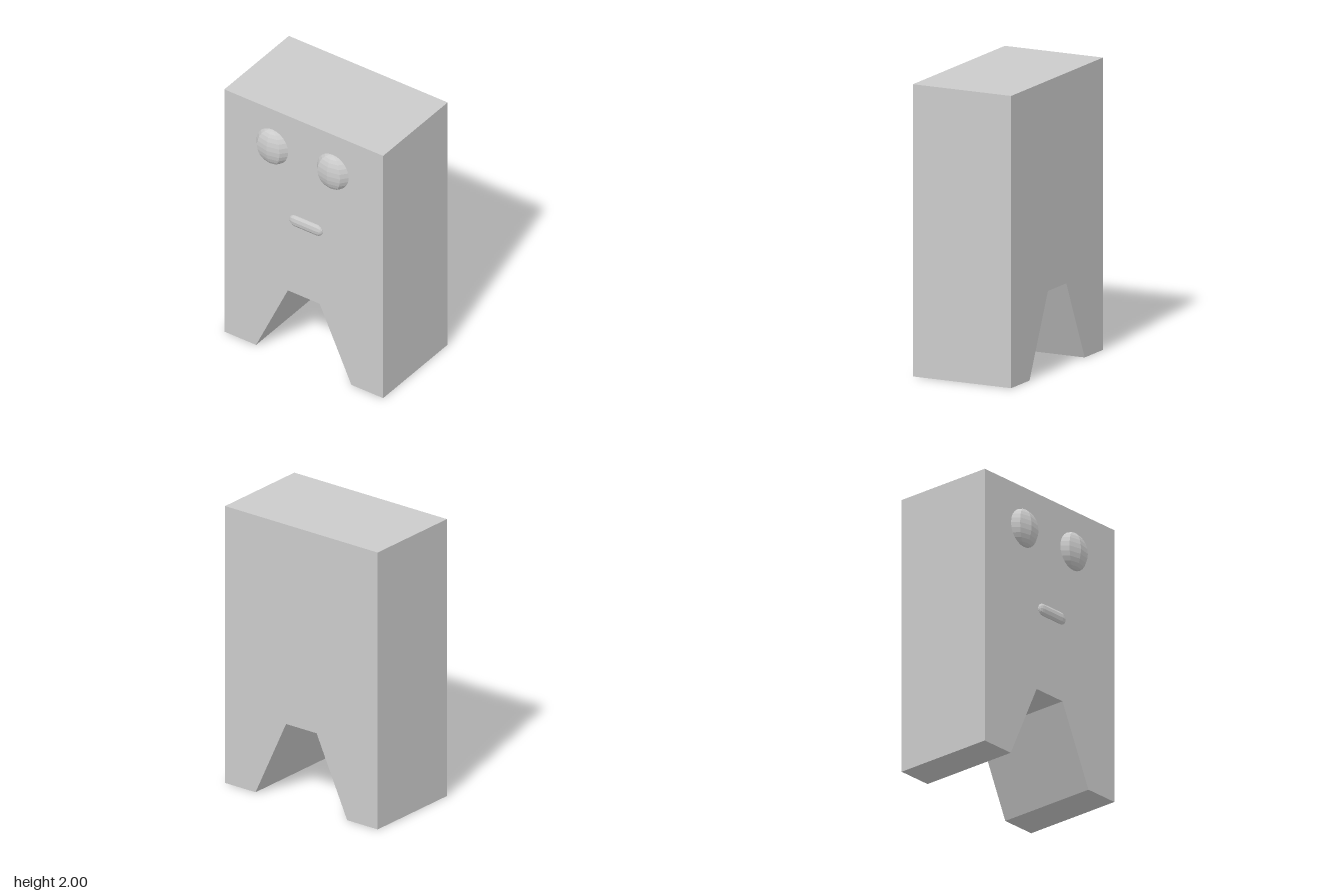
import * as THREE from 'three';

export function createModel() {
  const group = new THREE.Group();
  const material = new THREE.MeshStandardMaterial({ color: 0xcccccc, flatShading: true });
  const add = (name, geometry, x, y, z) => {
    const mesh = new THREE.Mesh(geometry, material);
    mesh.name = name;
    mesh.position.set(x, y, z);
    group.add(mesh);
    return mesh;
  };
  const faceX = -0.338; // plane carrying the eyes and mouth

  // Block body with a tapered notch between two legs, extruded along x
  const outline = new THREE.Shape([
    [-0.65, 0], [-0.39, 0], [-0.13, 0.56], [0.13, 0.56],
    [0.39, 0], [0.65, 0], [0.65, 2], [-0.65, 2],
  ].map(([z, y]) => new THREE.Vector2(z, y)));
  const body = new THREE.ExtrudeGeometry(outline, { depth: 0.743, bevelEnabled: false });
  body.rotateY(Math.PI / 2);
  add('body', body, faceX, 0, 0);

  // Faceted domed eyes, half sunk into the face
  [['rightEye', -0.257], ['leftEye', 0.238]].forEach(([name, z]) => {
    const eye = new THREE.SphereGeometry(1, 8, 12);
    eye.scale(0.068, 0.137, 0.13);
    add(name, eye, faceX, 1.698, z);
  });

  // Flat rounded bar for the mouth
  const mouth = new THREE.CapsuleGeometry(0.045, 0.18, 4, 10);
  mouth.rotateX(Math.PI / 2);
  mouth.scale(0.5, 1, 1);
  add('mouth', mouth, faceX, 1.162, 0.02);

  return group;
}
